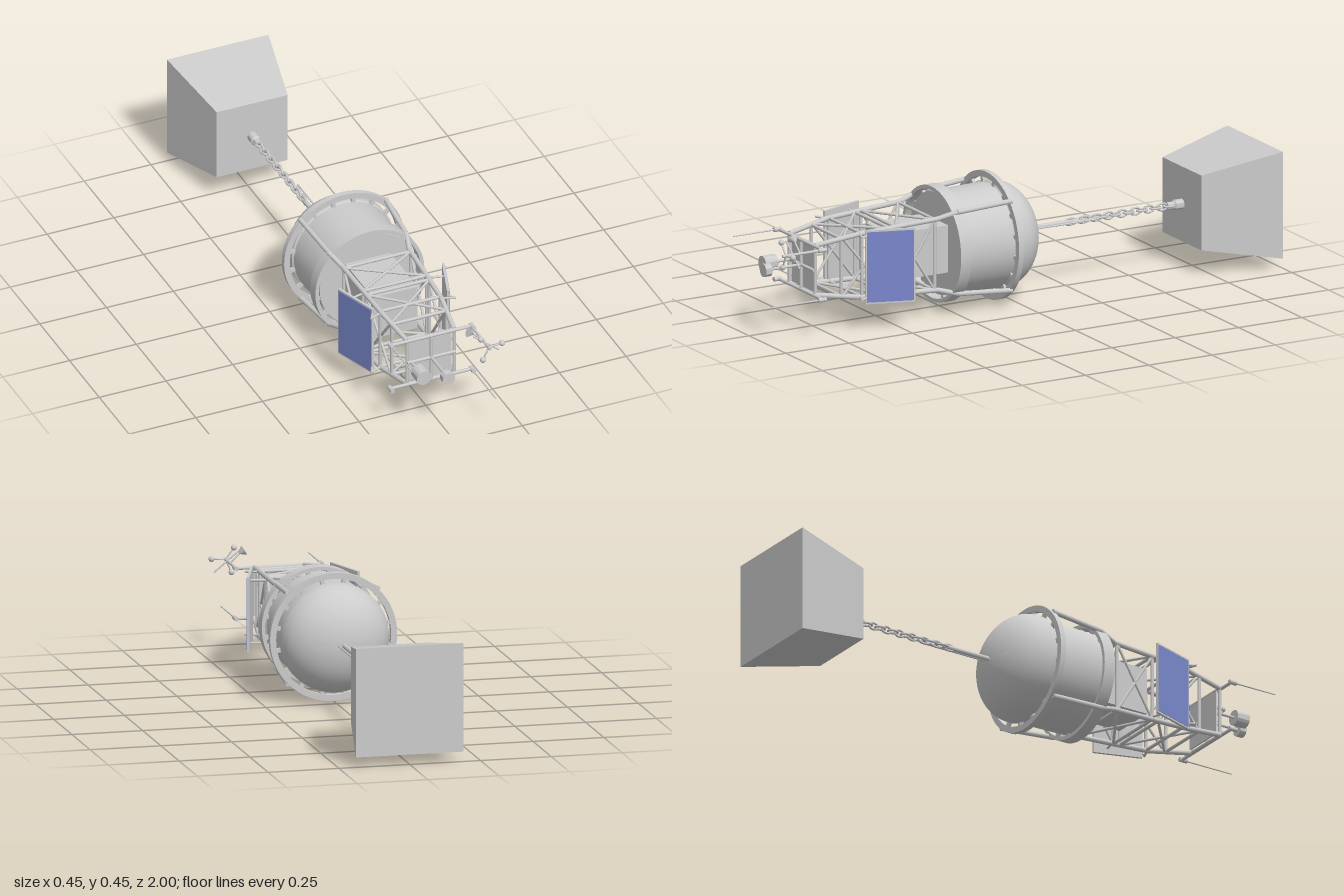
import * as THREE from 'three';
import { toCreasedNormals } from 'three/addons/utils/BufferGeometryUtils.js';

const grey = new THREE.MeshStandardMaterial({ color: 0xcccccc });
const flat = new THREE.MeshStandardMaterial({ color: 0xcccccc, flatShading: true });
const blue = new THREE.MeshStandardMaterial({ color: 0x7a88cc });
const V = (x, y, z) => new THREE.Vector3(x, y, z);

export function createModel() {
  const model = new THREE.Group();
  model.position.y = 0.225; // the buoy's axis runs along z at this height

  const add = (name, geometry, material = grey, parent = model) => {
    const mesh = new THREE.Mesh(geometry, material);
    mesh.name = name;
    parent.add(mesh);
    return mesh;
  };
  // Round bar between two points
  const bar = (name, a, b, r = 0.005, r2 = r) => {
    const d = b.clone().sub(a);
    const m = add(name, new THREE.CylinderGeometry(r2, r, d.length(), 12));
    m.position.copy(a).addScaledVector(d, 0.5);
    m.quaternion.setFromUnitVectors(V(0, 1, 0), d.normalize());
    return m;
  };
  // Body turned about the z axis from [radius, z] points
  const turned = (name, pts) => {
    const g = new THREE.LatheGeometry(pts.map(p => new THREE.Vector2(...p)), 64);
    g.rotateX(Math.PI / 2);
    return add(name, toCreasedNormals(g, 0.6));
  };
  const box = (name, w, h, d, x, y, z) => {
    const m = add(name, new THREE.BoxGeometry(w, h, d));
    m.position.set(x, y, z);
    return m;
  };

  // Hull with domed bottom
  const dome = [];
  for (let i = 0; i <= 16; i++) {
    const a = (i / 16) * Math.PI / 2;
    dome.push([0.19 * Math.sin(a), 0.035 - 0.142 * Math.cos(a)]);
  }
  turned('hull', [...dome, [0.19, 0.05], [0.184, 0.055], [0.18, 0.262], [0, 0.262]]);

  // Guard rings standing off the hull, with brackets
  const ring = (name, ri, ro, z0, z1) =>
    turned(name, [[ri, z0], [ro, z0], [ro, z1], [ri, z1], [ri, z0]]);
  ring('lowerRing', 0.203, 0.2245, 0.043, 0.063);
  ring('upperRing', 0.191, 0.204, 0.237, 0.28);
  for (let i = 0; i < 16; i++) {
    const a = (i + 0.5) * Math.PI / 8;
    for (const [r, z] of [[0.195, 0.053], [0.186, 0.252]]) {
      box('ringBracket', 0.022, 0.014, 0.012, r * Math.cos(a), r * Math.sin(a), z).rotation.z = a;
    }
  }

  // Tower legs: [half width, z] stations, continuing down over the hull
  const leg = [[0.159, 0.053], [0.145, 0.26], [0.126, 0.33], [0.119, 0.49], [0.112, 0.63], [0.088, 0.79]];
  for (const sx of [-1, 1]) for (const sy of [-1, 1]) {
    for (let i = 0; i < leg.length - 1; i++) {
      const [h0, z0] = leg[i], [h1, z1] = leg[i + 1];
      bar('towerLeg', V(sx * h0, sy * h0, z0), V(sx * h1, sy * h1, z1), 0.009);
    }
  }

  // Rungs and cross bracing on the four tower faces
  const turn = (p, k) => p.applyAxisAngle(V(0, 0, 1), k * Math.PI / 2);
  const halfAt = z => {
    let i = 1;
    while (i < leg.length - 1 && leg[i][1] < z) i++;
    const [h0, z0] = leg[i - 1], [h1, z1] = leg[i];
    return h0 + (h1 - h0) * (z - z0) / (z1 - z0);
  };
  for (let k = 0; k < 4; k++) {
    for (const z of [0.34, 0.49, 0.515, 0.62, 0.695, 0.79]) {
      const h = halfAt(z);
      bar('towerRung', turn(V(-h, h, z), k), turn(V(h, h, z), k), 0.006);
    }
    for (const [z0, z1] of [[0.34, 0.49], [0.515, 0.69]]) {
      const h0 = halfAt(z0), h1 = halfAt(z1);
      for (const s of [-1, 1]) {
        bar('towerBrace', turn(V(-s * h0, h0, z0), k), turn(V(s * h1, h1, z1), k), 0.005);
      }
    }
  }

  // Equipment housing inside the tower, and the end plate
  box('equipmentHousing', 0.168, 0.168, 0.235, 0, 0, 0.375);
  box('endPlate', 0.16, 0.16, 0.006, 0, 0, 0.783);

  // Solar panels, leaning outward towards the hull
  for (const s of [-1, 1]) {
    const panel = new THREE.Group();
    panel.name = 'solarPanel';
    panel.position.set(s * 0.168, 0, 0.54);
    panel.rotation.y = -s * 0.32;
    model.add(panel);
    add('panelFrame', new THREE.BoxGeometry(0.009, 0.262, 0.174), grey, panel);
    add('panelCells', new THREE.BoxGeometry(0.003, 0.25, 0.164), blue, panel).position.x = s * 0.0045;
    for (const y of [-0.11, 0.11]) {
      bar('panelStrut', V(s * 0.11, y, 0.625), V(s * 0.16, y, 0.645), 0.004);
      bar('panelStrut', V(s * 0.118, y, 0.49), V(s * 0.175, y, 0.505), 0.004);
      bar('panelStrut', V(s * 0.142, y, 0.615), V(s * 0.155, y, 0.645), 0.004);
    }
  }

  // Crossbars at the tower end, with end knobs
  for (const y of [-0.088, 0.088]) {
    bar('crossbar', V(-0.152, y, 0.795), V(0.152, y, 0.795), 0.006);
    for (const x of [-0.152, 0.152]) bar('crossbarKnob', V(x, y, 0.785), V(x, y, 0.815), 0.008);
  }
  bar('centreBar', V(-0.09, 0, 0.795), V(0.09, 0, 0.795), 0.006);
  bar('centreBar', V(0, -0.09, 0.795), V(0, 0.09, 0.795), 0.006);
  bar('whipAntenna', V(-0.152, 0.088, 0.8), V(-0.152, 0.088, 0.975), 0.003, 0.002);
  bar('whipAntenna', V(0.152, -0.088, 0.8), V(0.152, -0.088, 1), 0.003, 0.002);

  // Two drum-shaped instruments on posts
  for (const [x, r, z0, z1] of [[-0.075, 0.027, 0.855, 0.905], [0, 0.023, 0.92, 0.945]]) {
    bar('instrumentPost', V(x, 0, 0.79), V(x, 0, z0 + 0.01), 0.005);
    turned('instrumentDrum', [[0, z0], [r, z0], [r, z1], [0, z1]]).position.x = x;
  }

  // Wind gauge: post, three arms with cups, and a small vane
  const hub = V(0.15, 0.088, 0.942);
  bar('windGaugePost', V(0.15, 0.088, 0.79), V(0.15, 0.088, 0.955), 0.005);
  for (const a of [0.1, 2.2, 4.28]) {
    const tip = V(hub.x + 0.05 * Math.cos(a), hub.y + 0.05 * Math.sin(a), hub.z);
    bar('windGaugeArm', hub, tip, 0.003);
    add('windGaugeCup', new THREE.SphereGeometry(0.0105, 16, 10)).position.copy(tip);
  }
  bar('vaneArm', V(0.105, 0.127, 0.915), V(0.2, 0.05, 0.915), 0.003);
  bar('vaneArm', V(0.15, 0.088, 0.885), V(0.108, 0.125, 0.885), 0.003);
  bar('vaneCone', V(0.1, 0.13, 0.885), V(0.12, 0.118, 0.885), 0.018, 0.001);

  // Mooring rod and side cable under the dome
  bar('mooringRod', V(0, 0, -0.095), V(0, 0, -0.3), 0.0085);
  bar('sideCable', V(0.02, 0, -0.09), V(0.02, 0, -0.37), 0.003);

  // Chain: alternating links, longer and tighter next to the rod
  const link = (z, half, wide, k) => {
    const pts = [];
    for (let i = 0; i < 12; i++) {
      const a = i * Math.PI / 6;
      pts.push(turn(V(0, wide * Math.sin(a), z + half * Math.cos(a)), k));
    }
    add('chainLink', new THREE.TubeGeometry(new THREE.CatmullRomCurve3(pts, true), 24, 0.004, 8, true));
  };
  for (let i = 0; i < 6; i++) link(-0.27 - i * 0.025, 0.024, 0.011, i % 2);
  for (let i = 0; i < 10; i++) link(-0.42 - i * 0.0265, 0.019, 0.012, i % 2);

  // Anchor block with its chain socket
  turned('anchorSocket', [[0, -0.715], [0.018, -0.715], [0.018, -0.68], [0.013, -0.675], [0.013, -0.65], [0, -0.65]]);
  const block = new THREE.CylinderGeometry(0.133 * Math.SQRT2, 0.19 * Math.SQRT2, 0.29, 4);
  block.rotateY(Math.PI / 4).rotateX(Math.PI / 2);
  add('anchorBlock', block, flat).position.z = -0.855;

  return model;
}
